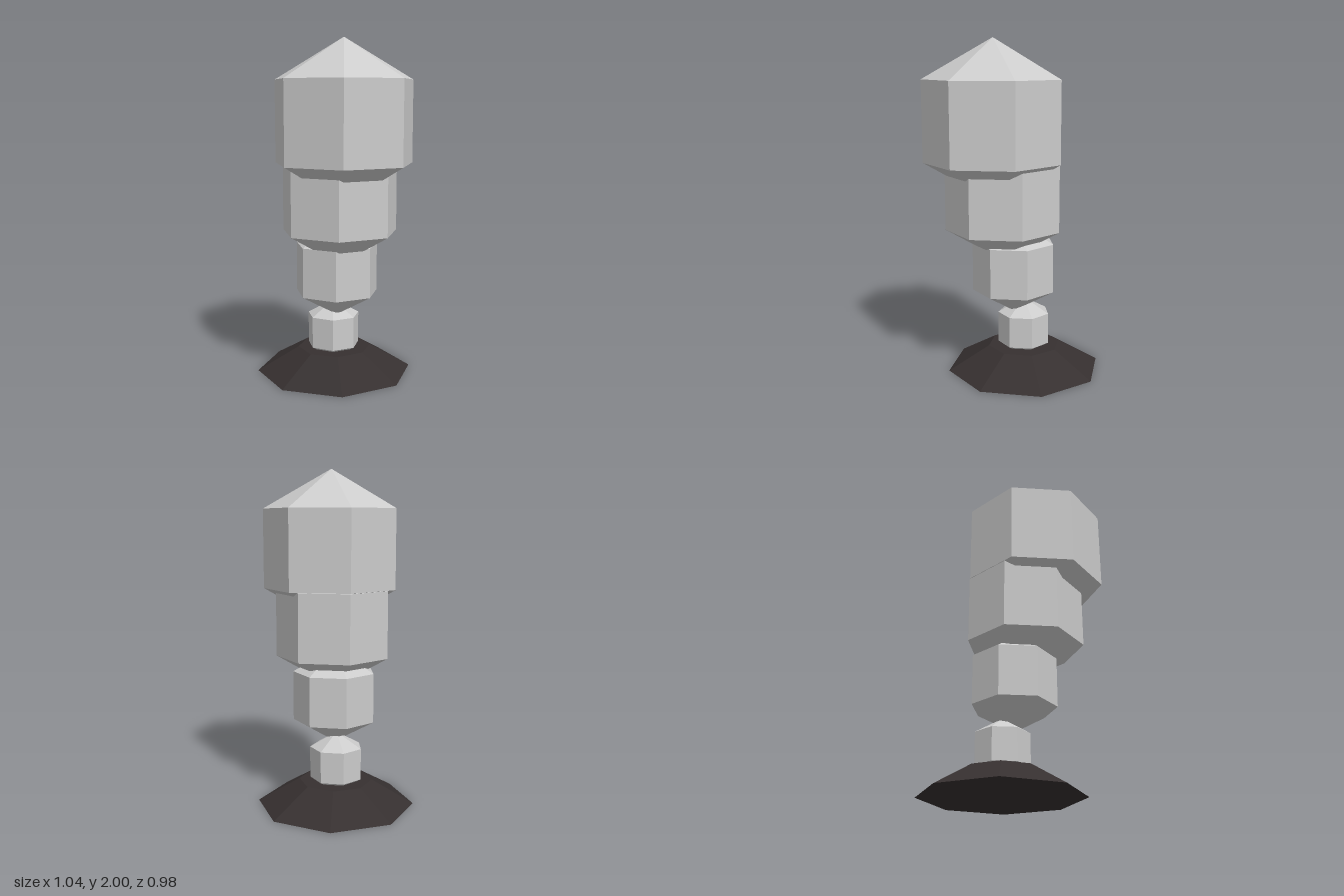
import * as THREE from 'three';

const TAPER = 0.57; // rise of the pointed ends per unit of radius

// Faceted solid turned from [radius, height] pairs listed bottom to top, with one corner towards +x
function turned(name, profile, sides, x, z, material) {
  const points = profile.map(([r, y]) => new THREE.Vector2(r, y));
  const mesh = new THREE.Mesh(new THREE.LatheGeometry(points, sides, Math.PI / 2), material);
  mesh.name = name;
  mesh.position.set(x, 0, z);
  return mesh;
}

export function createModel() {
  const group = new THREE.Group();
  group.name = 'stackedColumn';
  const grey = new THREE.MeshStandardMaterial({ color: 0xcccccc, flatShading: true });
  const dark = new THREE.MeshStandardMaterial({ color: 0x363030, flatShading: true });

  // Eight-sided foot with a flat top
  group.add(turned('base', [[0, 0], [0.47, 0], [0.22, 0.145], [0, 0.145]], 8, -0.05, -0.02, dark));

  // Seven-sided prisms pointed at both ends, growing and drifting sideways as they rise
  const segments = [
    { name: 'lowerSegment', r: 0.158, y0: 0.162, y1: 0.35, x: -0.053, z: -0.016 },
    { name: 'middleSegment', r: 0.249, y0: 0.505, y1: 0.8, x: 0.003, z: 0.02 },
    { name: 'upperSegment', r: 0.346, y0: 0.885, y1: 1.288, x: 0.056, z: 0.0575 },
    { name: 'topSegment', r: 0.41, y0: 1.29, y1: 1.766, x: 0.113, z: 0.09 },
  ];
  for (const { name, r, y0, y1, x, z } of segments) {
    const profile = [[0, y0 - r * TAPER], [r, y0], [r, y1], [0, y1 + r * TAPER]];
    group.add(turned(name, profile, 7, x, z, grey));
  }
  return group;
}
